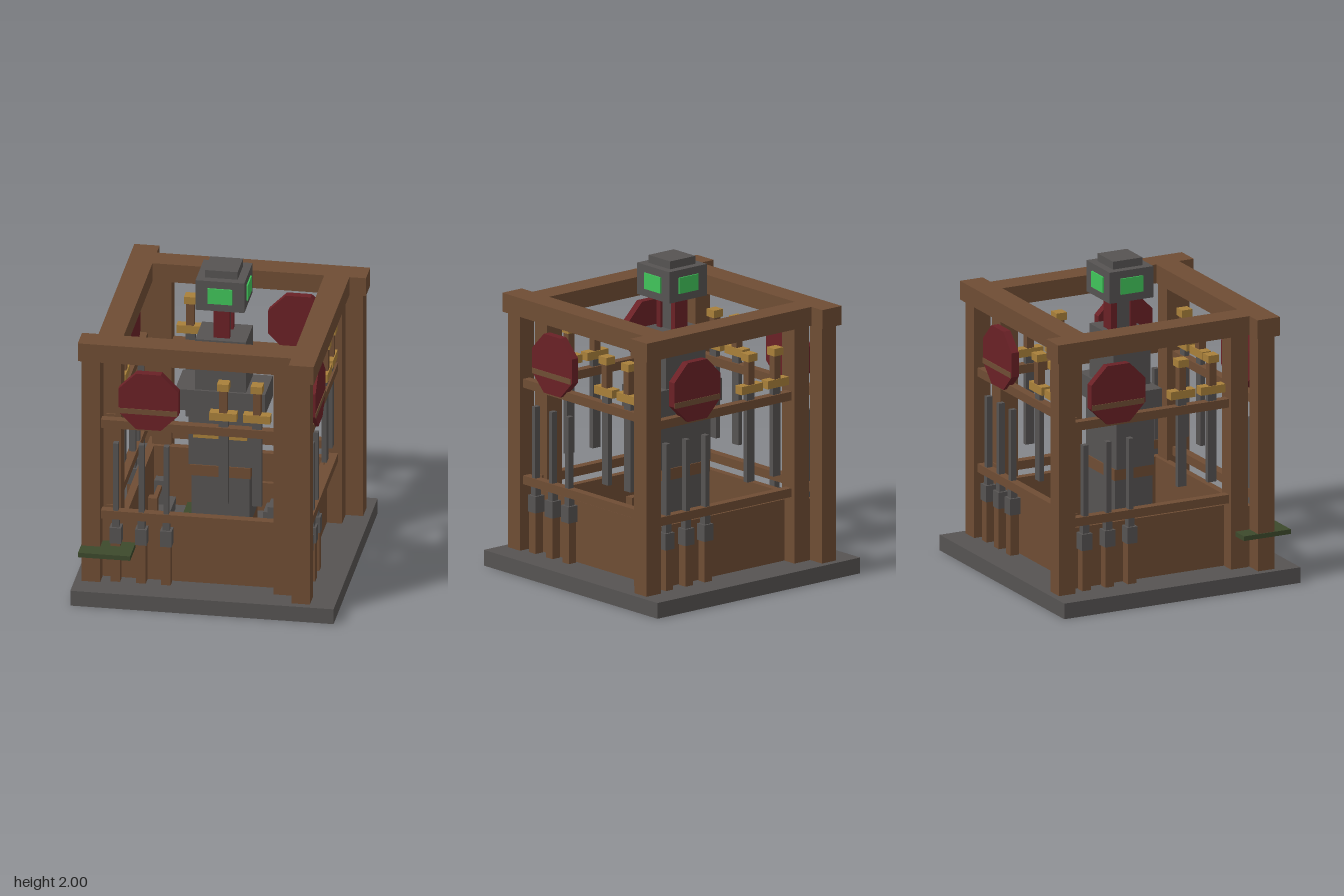
import * as THREE from 'three';

const mat = (name, color) => {
  const m = new THREE.MeshStandardMaterial({ color, flatShading: true });
  m.name = name;
  return m;
};

export function createModel() {
  const wood = mat('wood', 0x6f4d34);
  const iron = mat('iron', 0x565352);
  const red = mat('dark red', 0x6a2126);
  const brass = mat('brass', 0xa9803a);
  const moss = mat('moss green', 0x3d492c);
  const glow = mat('bright green', 0x41c45a);

  const model = new THREE.Group();
  model.name = 'workshopFrame';

  // Box given by its limits on each axis
  const box = (parent, name, m, x0, x1, y0, y1, z0, z1) => {
    const mesh = new THREE.Mesh(new THREE.BoxGeometry(x1 - x0, y1 - y0, z1 - z0), m);
    mesh.position.set((x0 + x1) / 2, (y0 + y1) / 2, (z0 + z1) / 2);
    mesh.name = name;
    parent.add(mesh);
    return mesh;
  };
  // Box centred on x and z
  const block = (parent, name, m, hx, hz, y0, y1, x = 0, z = 0) =>
    box(parent, name, m, x - hx, x + hx, y0, y1, z - hz, z + hz);

  block(model, 'base', iron, 0.82, 0.82, 0, 0.1);

  // One side of the frame; the four sides form a pinwheel
  const makeSide = () => {
    const side = new THREE.Group();
    side.name = 'frameSide';
    box(side, 'topBeam', wood, -0.795, 0.535, 1.6, 1.72, 0.535, 0.692);
    box(side, 'cornerPost', wood, -0.775, -0.66, 0.1, 1.6, 0.55, 0.665);
    box(side, 'innerPost', wood, 0.42, 0.54, 0.1, 1.6, 0.55, 0.665);
    box(side, 'wallPanel', wood, -0.66, 0.55, 0.1, 0.49, 0.525, 0.57);
    box(side, 'lowerRail', wood, -0.66, 0.55, 0.52, 0.575, 0.585, 0.64);
    box(side, 'upperRail', wood, -0.66, 0.55, 1.135, 1.19, 0.585, 0.64);

    // Octagonal shield
    const shield = new THREE.Mesh(new THREE.CylinderGeometry(0.203, 0.203, 0.05, 8), red);
    shield.geometry.rotateY(Math.PI / 8);
    shield.rotation.x = Math.PI / 2;
    shield.position.set(-0.36, 1.34, 0.637);
    shield.name = 'shield';
    side.add(shield);
    box(side, 'shieldBand', wood, -0.545, -0.18, 1.255, 1.29, 0.66, 0.666);

    // Pole tools with sockets
    for (const x of [-0.57, -0.41, -0.255]) {
      block(side, 'toolHandle', wood, 0.03, 0.03, 0.1, 0.36, x, 0.612);
      block(side, 'toolSocket', iron, 0.036, 0.036, 0.36, 0.465, x, 0.612);
      block(side, 'toolNeck', iron, 0.022, 0.022, 0.465, 0.52, x, 0.612);
      block(side, 'toolRod', iron, 0.016, 0.02, 0.52, 1.03, x, 0.612);
    }

    // Hanging swords
    for (const x of [0.1, 0.31]) {
      block(side, 'swordBlade', iron, 0.03, 0.016, 0.67, 1.24, x, 0.612);
      block(side, 'swordGuard', brass, 0.085, 0.03, 1.238, 1.29, x, 0.612);
      block(side, 'swordGrip', wood, 0.024, 0.024, 1.29, 1.44, x, 0.612);
      block(side, 'swordPommel', brass, 0.036, 0.036, 1.44, 1.488, x, 0.612);
    }

    // Low workbench with a lever
    box(side, 'benchBase', iron, -0.46, -0.18, 0.1, 0.16, 0.38, 0.52);
    box(side, 'benchTop', iron, -0.43, -0.21, 0.16, 0.2, 0.37, 0.5);
    box(side, 'leverBlock', iron, -0.37, -0.3, 0.2, 0.36, 0.42, 0.485);
    box(side, 'lever', wood, -0.3, -0.09, 0.3, 0.33, 0.437, 0.464);
    box(side, 'leverPost', wood, -0.095, -0.04, 0.1, 0.36, 0.425, 0.48);
    box(side, 'leverTip', brass, -0.405, -0.37, 0.3, 0.335, 0.435, 0.465);

    // Floor mat
    box(side, 'floorMat', moss, 0.1, 0.315, 0.1, 0.125, 0.31, 0.525);
    return side;
  };
  for (let i = 0; i < 4; i++) {
    const side = makeSide();
    side.rotation.y = (i * Math.PI) / 2;
    model.add(side);
  }

  // Plate around one corner
  box(model, 'cornerPlate', moss, -0.78, -0.455, 0.31, 0.34, 0.45, 0.775);

  // Central figure
  const figure = new THREE.Group();
  figure.name = 'centralFigure';
  model.add(figure);
  block(figure, 'pedestal', wood, 0.178, 0.175, 0.1, 0.3);
  block(figure, 'lowerBody', iron, 0.18, 0.13, 0.3, 0.625);
  block(figure, 'belt', wood, 0.188, 0.138, 0.62, 0.692);
  block(figure, 'torso', iron, 0.2, 0.13, 0.692, 1.06);
  block(figure, 'shoulders', iron, 0.28, 0.145, 1.06, 1.2);
  block(figure, 'chest', iron, 0.158, 0.13, 1.2, 1.54);
  box(figure, 'lowerTrim', brass, -0.17, 0.168, 0.88, 0.922, 0.13, 0.145);
  box(figure, 'upperTrim', brass, -0.125, 0.125, 1.39, 1.437, 0.13, 0.145);
  block(figure, 'neck', iron, 0.035, 0.05, 1.54, 1.75);
  for (const s of [-1, 1]) block(figure, 'neckBrace', red, 0.05, 0.02, 1.54, 1.75, 0, s * 0.068);
  block(figure, 'head', iron, 0.152, 0.152, 1.75, 1.95);
  block(figure, 'headCap', iron, 0.102, 0.102, 1.95, 2);
  for (let i = 0; i < 4; i++) {
    const face = new THREE.Group();
    face.name = 'glowPanel';
    face.rotation.y = (i * Math.PI) / 2;
    box(face, 'panel', glow, -0.077, 0.077, 1.8, 1.902, 0.152, 0.161);
    figure.add(face);
  }
  return model;
}
